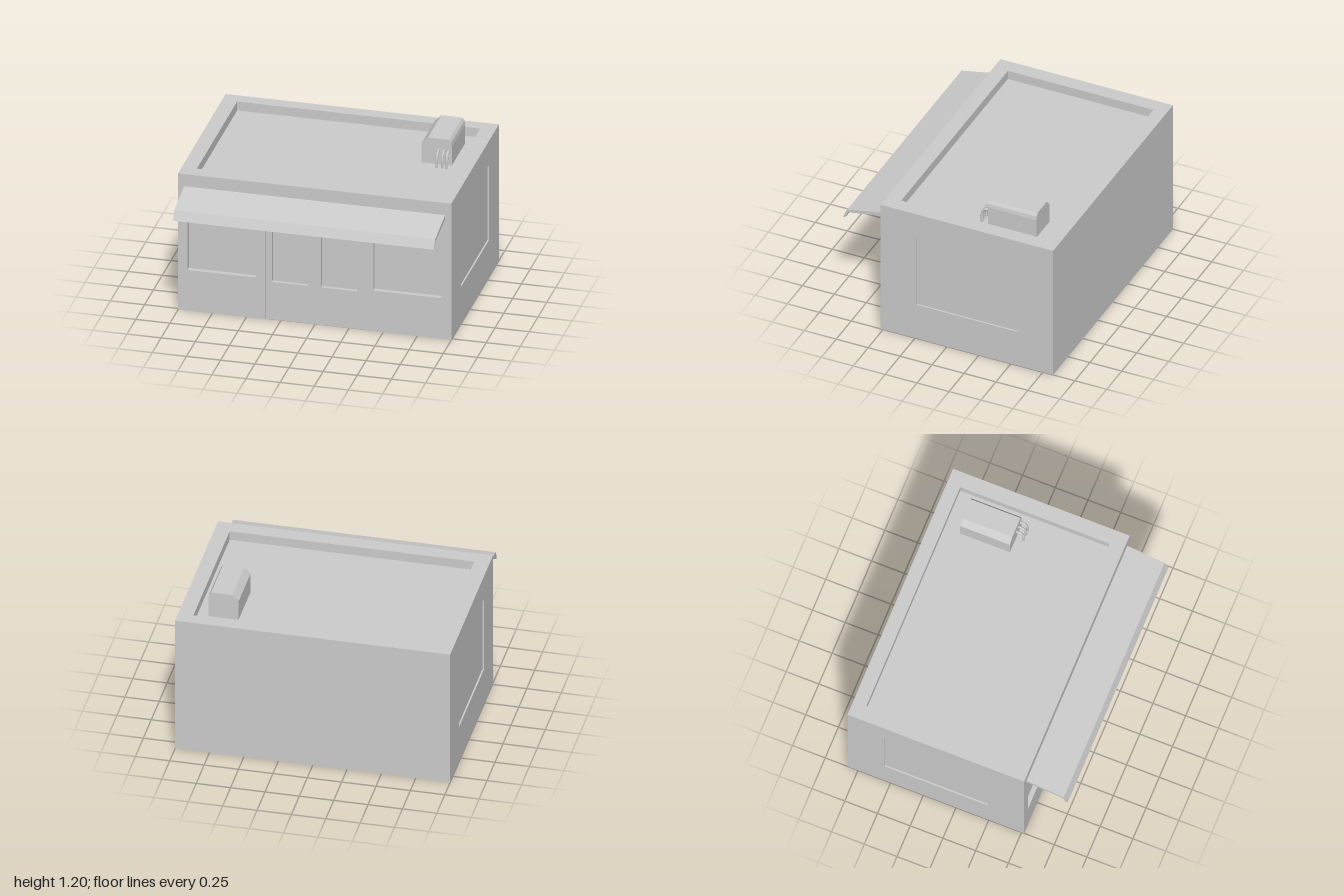
import * as THREE from 'three';

const grey = new THREE.MeshStandardMaterial({ color: 0xcccccc, flatShading: true });
const smooth = new THREE.MeshStandardMaterial({ color: 0xcccccc });

// Closed outline from [x, y] pairs
const outline = (pts) => new THREE.Shape(pts.map(([x, y]) => new THREE.Vector2(x, y)));
const rect = (x0, y0, x1, y1) => outline([[x0, y0], [x1, y0], [x1, y1], [x0, y1]]);

// Rectangle with slightly clipped corners for the window openings
function opening(x0, y0, x1, y1, c = 0.006) {
  return outline([
    [x0 + c, y0], [x1 - c, y0], [x1, y0 + c], [x1, y1 - c],
    [x1 - c, y1], [x0 + c, y1], [x0, y1 - c], [x0, y0 + c],
  ]);
}

function extrude(name, shape, depth, holes = []) {
  shape.holes.push(...holes);
  const mesh = new THREE.Mesh(new THREE.ExtrudeGeometry(shape, { depth, bevelEnabled: false }), grey);
  mesh.name = name;
  return mesh;
}

export function createModel() {
  const model = new THREE.Group();
  model.name = 'shop';

  const front = 0.52, back = -0.83, top = 1.07, roof = 1.0;
  const frontDepth = 0.035, sideDepth = 0.012;
  const inner = front - frontDepth;

  // Solid core: back wall, floor, roof deck and the glass seen in the openings
  const core = new THREE.Mesh(new THREE.BoxGeometry(2 - 2 * sideDepth, roof, inner - back), grey);
  core.name = 'core';
  core.position.set(0, roof / 2, (inner + back) / 2);
  model.add(core);

  // Front wall with the doorway notch and two shop windows
  const wall = outline([
    [-1, 0], [-0.363, 0], [-0.363, 0.9], [0.36, 0.9], [0.36, 0], [1, 0], [1, roof], [-1, roof],
  ]);
  const frontWall = extrude('frontWall', wall, frontDepth, [
    opening(-0.93, 0.32, -0.43, 0.82), opening(0.43, 0.32, 0.93, 0.82),
  ]);
  frontWall.position.z = inner;
  model.add(frontWall);

  // Door panel, set slightly back, with two glazed openings
  const door = extrude('door', rect(-0.363, 0, 0.36, 0.9), frontDepth - 0.01, [
    opening(-0.315, 0.295, -0.048, 0.845), opening(0.045, 0.295, 0.312, 0.845),
  ]);
  door.position.z = inner;
  model.add(door);

  // Side walls, each with one shallow window (shape x runs along -z)
  for (const side of [1, -1]) {
    const sideWall = extrude(side > 0 ? 'leftWall' : 'rightWall',
      rect(-inner, 0, -back, roof), sideDepth, [rect(-0.24, 0.29, 0.55, 0.88)]);
    sideWall.rotation.y = Math.PI / 2;
    sideWall.position.x = side > 0 ? 1 - sideDepth : -1;
    model.add(sideWall);
  }

  // Parapet ring around the roof deck (shape y runs along -z)
  const parapet = extrude('parapet', rect(-1, -front, 1, -back), top - roof,
    [rect(-0.89, -0.41, 0.89, 0.73)]);
  parapet.rotation.x = -Math.PI / 2;
  parapet.position.y = roof;
  model.add(parapet);

  // Sloping awning with a dropped lip (profile is [-z, y])
  const awning = extrude('awning', outline([
    [-0.515, 0.976], [-0.804, 0.915], [-0.835, 0.848], [-0.817, 0.848], [-0.795, 0.896], [-0.515, 0.944],
  ]), 1.91);
  awning.rotation.y = Math.PI / 2;
  awning.position.x = -0.955;
  model.add(awning);

  // Rooftop air conditioner
  const unit = new THREE.Group();
  unit.name = 'airConditioner';
  const casing = extrude('casing', outline([
    [0.59, roof], [0.81, roof], [0.81, 1.15], [0.805, 1.178], [0.79, 1.2], [0.635, 1.2], [0.59, 1.153],
  ]), 0.38);
  casing.position.z = -0.61;
  unit.add(casing);

  // Three pipes bending down to the roof deck
  for (const x of [0.714, 0.754, 0.788]) {
    const path = new THREE.CatmullRomCurve3([
      [-0.24, 1.113], [-0.2, 1.111], [-0.183, 1.09], [-0.175, 1.06], [-0.175, roof],
    ].map(([z, y]) => new THREE.Vector3(x, y, z)));
    const pipe = new THREE.Mesh(new THREE.TubeGeometry(path, 16, 0.01, 10), smooth);
    pipe.name = 'pipe';
    unit.add(pipe);
  }
  model.add(unit);

  return model;
}
